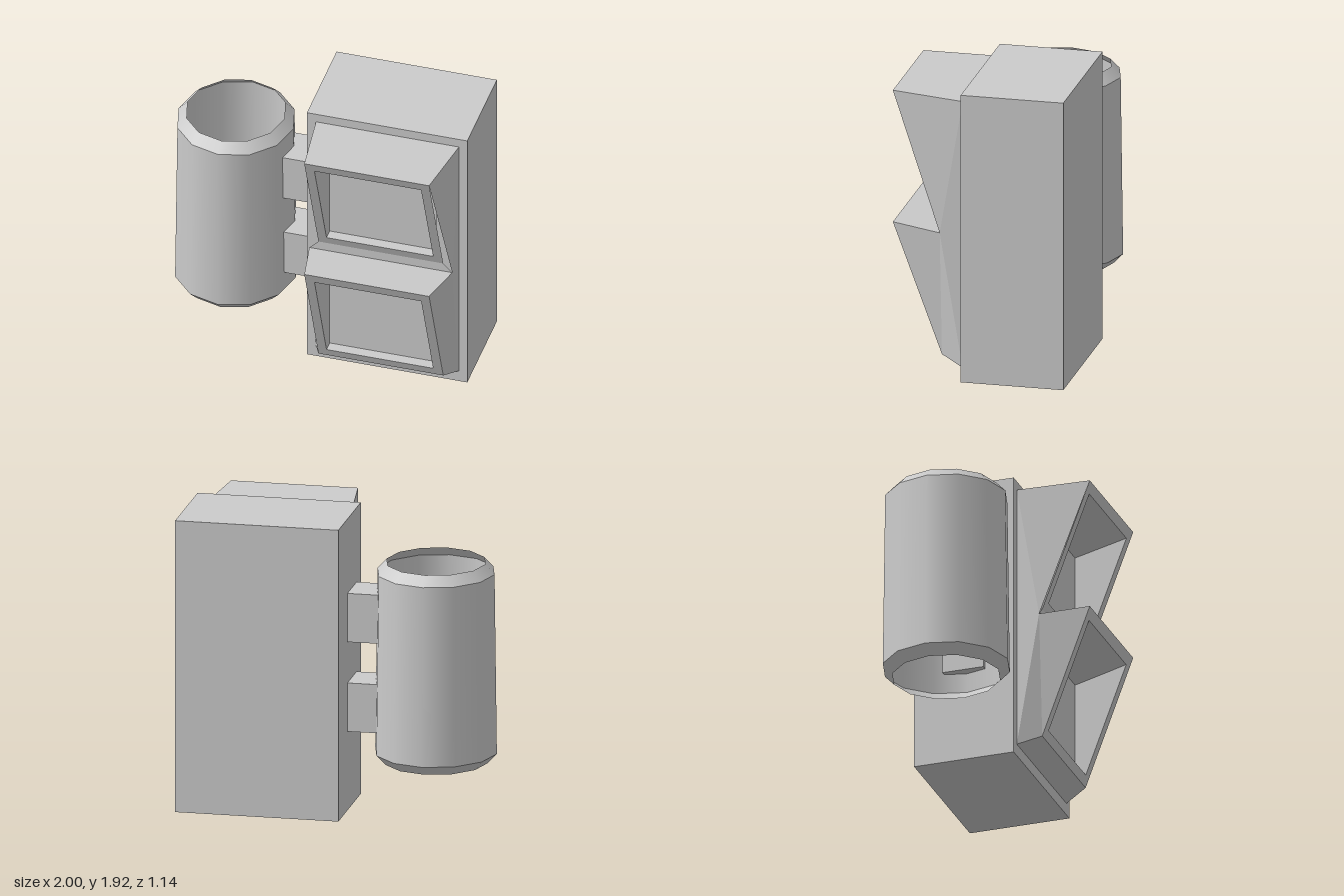
import * as THREE from 'three';

const MID = 0.4725; // centre line of the signal head
const mat = new THREE.MeshStandardMaterial({ color: 0xcccccc, flatShading: true });
const shellMat = new THREE.MeshStandardMaterial({ color: 0xcccccc, side: THREE.DoubleSide });

const flip = ([x, y, z]) => [2 * MID - x, y, z];

function box(name, x0, x1, y0, y1, z0, z1) {
  const mesh = new THREE.Mesh(new THREE.BoxGeometry(x1 - x0, y1 - y0, z1 - z0), mat);
  mesh.position.set((x0 + x1) / 2, (y0 + y1) / 2, (z0 + z1) / 2);
  mesh.name = name;
  return mesh;
}

function visorGeometry() {
  const pos = [];
  const tri = (a, b, c) => pos.push(...a, ...b, ...c);
  const quad = (a, b, c, d) => { tri(a, b, c); tri(a, c, d); };
  const band = (outer, inner) => outer.forEach((p, i) => {
    const j = (i + 1) % 4;
    quad(p, outer[j], inner[j], inner[i]);
  });
  const rect = (y0, z0, y1, z1) => {
    const a = [0.12, y0, z0], b = [0.12, y1, z1];
    return [a, flip(a), flip(b), b];
  };

  // side profile of the two stacked hoods, from bottom to top
  const base = [0, 0.08, 0.1], lowSill = [0.06, 0.14, 0.25], lowBrow = [0.06, 1.0, 0.57];
  const notch = [0, 0.97, 0.25], topSill = [0.06, 1.03, 0.25], topBrow = [0.06, 1.88, 0.57];
  const top = [0, 1.86, 0.1];

  // faceted sides, mirrored
  const sides = [[base, lowSill, notch], [lowSill, lowBrow, notch], [base, notch, top],
    [notch, topBrow, topSill], [notch, topBrow, top]];
  for (const [a, b, c] of sides) {
    tri(a, b, c);
    tri(flip(a), flip(c), flip(b));
  }

  // strips across the width
  for (const [p, q] of [[base, lowSill], [lowBrow, notch], [notch, topSill], [topBrow, top]]) {
    quad(p, flip(p), flip(q), q);
  }

  // slanted frames with recessed windows
  const windows = [[lowSill, lowBrow, 0.2, 0.93, 0.84], [topSill, topBrow, 1.09, 1.815, 1.73]];
  for (const [p, q, y0, y1, yBack] of windows) {
    const zAt = (y) => p[2] + (y - p[1]) * (q[2] - p[2]) / (q[1] - p[1]);
    const rim = rect(y0, zAt(y0), y1, zAt(y1));
    const back = rect(y0, 0.2, yBack, 0.2);
    band([p, flip(p), flip(q), q], rim);
    band(rim, back);
    quad(...back);
  }

  const geo = new THREE.BufferGeometry();
  geo.setAttribute('position', new THREE.Float32BufferAttribute(pos, 3));
  geo.computeVertexNormals();
  return geo;
}

export function createModel() {
  const model = new THREE.Group();
  model.name = 'pedestrianSignal';

  model.add(box('housing', -0.06, 1, 0, 1.92, -0.57, 0.1));

  const visor = new THREE.Mesh(visorGeometry(), mat);
  visor.name = 'visor';
  model.add(visor);

  // mounting arms
  for (const y of [0.52, 1.11]) {
    model.add(box('mountArm', -0.28, -0.06, y, y + 0.32, -0.3, -0.025));
  }

  // open twelve-sided pole sleeve with bevelled ends
  const sleeve = new THREE.Group();
  sleeve.name = 'poleSleeve';
  const rings = [[0.325, 0.335], [0.39, 0.395], [1.57, 0.38], [1.635, 0.32]];
  ['lowerBevel', 'sleeveWall', 'upperBevel'].forEach((name, i) => {
    const [[y0, r0], [y1, r1]] = [rings[i], rings[i + 1]];
    const mesh = new THREE.Mesh(new THREE.CylinderGeometry(r1, r0, y1 - y0, 12, 1, true), shellMat);
    mesh.position.y = (y0 + y1) / 2;
    mesh.name = name;
    sleeve.add(mesh);
  });
  sleeve.position.set(-0.605, 0, -0.16);
  sleeve.scale.z = 1.045;
  model.add(sleeve);

  return model;
}
